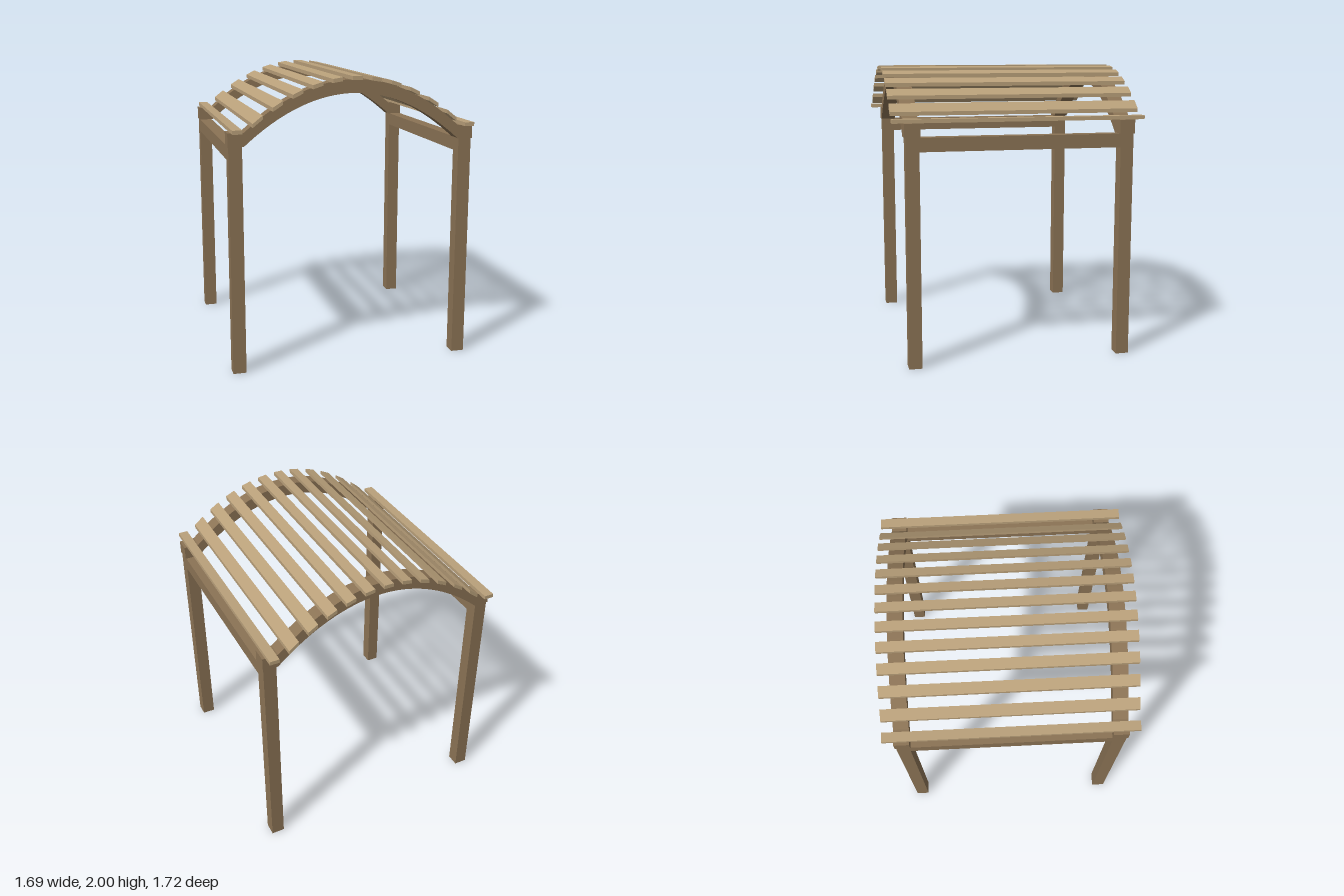
import * as THREE from 'three';

const timber = new THREE.MeshStandardMaterial({ color: 0x8b7355 });
timber.name = 'brown timber';
const slatWood = new THREE.MeshStandardMaterial({ color: 0xb9a07a });
slatWood.name = 'pale slat wood';

const POST_X = 0.795, POST_Z = 0.73, POST_W = 0.09, POST_H = 1.555;
const BLOCK_IN = 0.737, BLOCK_OUT = 0.845, BLOCK_TOP = 1.648;
const ARCH_DEPTH = 0.09, ARCH_WIDTH = 0.105, APEX = 1.974;
const SLAT_W = 0.066, SLAT_T = 0.026, SLAT_LENGTH = 1.716;

// Upper edge of the arch: a parabola between the corner blocks
const rise = (APEX - BLOCK_TOP) / BLOCK_IN ** 2;
const archY = (x) => APEX - rise * x * x;

function box(name, w, h, d, x, y, z) {
  const mesh = new THREE.Mesh(new THREE.BoxGeometry(w, h, d), timber);
  mesh.name = name;
  mesh.position.set(x, y, z);
  return mesh;
}

// Extrudes an outline in x/y, centred along z
function extrude(name, points, depth, material) {
  const shape = new THREE.Shape(points.map(([x, y]) => new THREE.Vector2(x, y)));
  const geometry = new THREE.ExtrudeGeometry(shape, { depth, bevelEnabled: false });
  geometry.translate(0, 0, -depth / 2);
  const mesh = new THREE.Mesh(geometry, material);
  mesh.name = name;
  return mesh;
}

export function createModel() {
  const group = new THREE.Group();
  group.name = 'archedPergola';

  // Arch outline: underside left to right, then upper edge back
  const lower = [], upper = [];
  const steps = 36;
  for (let i = 0; i <= steps; i++) {
    const x = BLOCK_IN * (2 * i / steps - 1);
    lower.push([x, archY(x) - ARCH_DEPTH]);
    upper.unshift([x, archY(x)]);
  }

  for (const sz of [1, -1]) {
    const end = sz > 0 ? 'front' : 'back';
    const arch = extrude(end + 'Arch', [...lower, ...upper], ARCH_WIDTH, timber);
    arch.position.z = sz * POST_Z;
    group.add(arch);

    // Posts and the corner blocks on top of them
    for (const sx of [1, -1]) {
      const side = sx > 0 ? 'Left' : 'Right';
      group.add(box(end + side + 'Post', POST_W, POST_H, POST_W, sx * POST_X, POST_H / 2, sz * POST_Z));
      group.add(box(end + side + 'Block', BLOCK_OUT - BLOCK_IN, BLOCK_TOP - POST_H, ARCH_WIDTH,
        sx * (BLOCK_IN + BLOCK_OUT) / 2, (BLOCK_TOP + POST_H) / 2, sz * POST_Z));
    }
  }

  // Side beams between the front and back posts
  for (const sx of [1, -1]) {
    group.add(box(sx > 0 ? 'leftBeam' : 'rightBeam', POST_W, 0.093, 2 * POST_Z - POST_W,
      sx * POST_X, POST_H - 0.0465, 0));
  }

  // Roof slats: upright ends, sloped with the arch; the outermost lie flat on the blocks
  for (let i = -6; i <= 6; i++) {
    const x = i * 0.132;
    const flat = Math.abs(i) === 6;
    const y = flat ? BLOCK_TOP : archY(x);
    const drop = flat ? 0 : -2 * rise * x * SLAT_W / 2;
    const a = x - SLAT_W / 2, b = x + SLAT_W / 2;
    group.add(extrude('slat' + (i + 7), [
      [a, y - drop], [b, y + drop], [b, y + drop + SLAT_T], [a, y - drop + SLAT_T],
    ], SLAT_LENGTH, slatWood));
  }

  return group;
}
